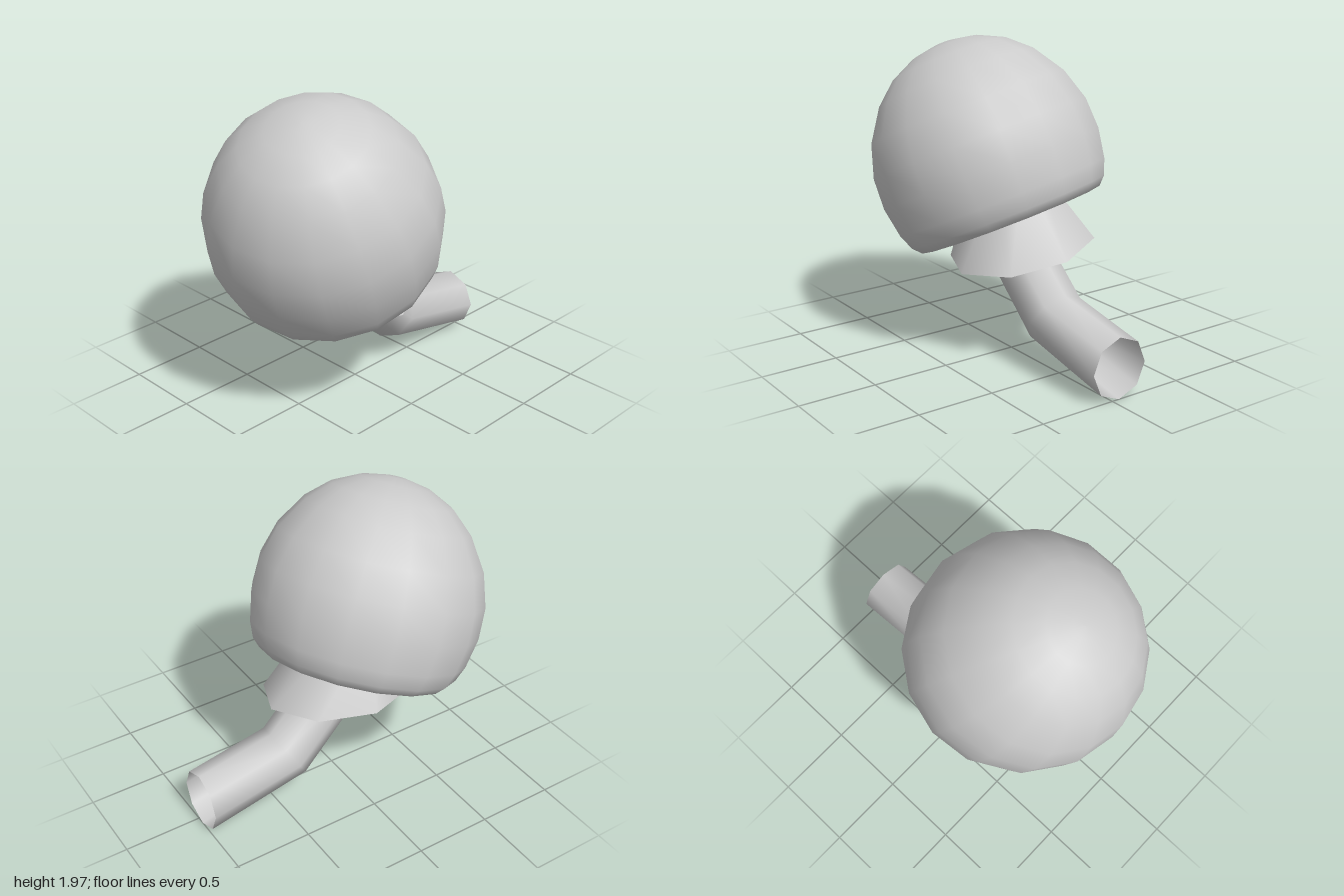
import * as THREE from 'three';

const V = (x, y, z) => new THREE.Vector3(x, y, z);
const points2 = (list) => list.map(([x, y]) => new THREE.Vector2(x, y));
const SIDES = 8;

// Skin a row of eight-sided rings; each ring is [centre, normal, radius]
function loft(rings) {
  const pos = [], index = [];
  rings.forEach(([c, n, r], i) => {
    const w = n.clone().normalize();
    const u = V(0, 0, 1).addScaledVector(w, -w.z).normalize();
    const v = w.clone().cross(u);
    for (let j = 0; j < SIDES; j++) {
      const a = (j / SIDES) * Math.PI * 2;
      const p = c.clone().addScaledVector(u, r * Math.cos(a)).addScaledVector(v, r * Math.sin(a));
      pos.push(p.x, p.y, p.z);
      if (i === 0) continue;
      const k = (j + 1) % SIDES, lo = (i - 1) * SIDES, hi = i * SIDES;
      index.push(lo + j, lo + k, hi + k, lo + j, hi + k, hi + j);
    }
  });
  const g = new THREE.BufferGeometry();
  g.setAttribute('position', new THREE.Float32BufferAttribute(pos, 3));
  g.setIndex(index);
  g.computeVertexNormals();
  return g;
}

export function createModel() {
  const model = new THREE.Group();
  model.name = 'mushroom';
  const smooth = new THREE.MeshStandardMaterial({ color: 0xcccccc, side: THREE.DoubleSide });
  const flat = new THREE.MeshStandardMaterial({ color: 0xcccccc, side: THREE.DoubleSide, flatShading: true });
  const add = (parent, name, geometry, material) => {
    const mesh = new THREE.Mesh(geometry, material);
    mesh.name = name;
    parent.add(mesh);
  };

  // Tilted head holding the cap and gills
  const axis = V(-0.38, 0.91, 0.17).normalize();
  const head = new THREE.Group();
  head.name = 'head';
  head.position.set(-0.27, 1.22, 0);
  head.quaternion.setFromUnitVectors(V(0, 1, 0), axis);
  model.add(head);

  // Cap: curled inner lip, widest low down, then a tall dome up to the pole
  const profile = points2([
    [0.575, -0.28], [0.545, -0.34], [0.535, -0.395], [0.56, -0.43], [0.605, -0.432],
    [0.655, -0.38], [0.695, -0.28], [0.728, -0.09], [0.72, 0.11], [0.655, 0.32],
    [0.525, 0.52], [0.385, 0.645], [0.22, 0.725], [0.07, 0.755], [0, 0.757],
  ]);
  add(head, 'cap', new THREE.LatheGeometry(profile, 16), smooth);

  // Gills: a cone pleated up and down, deepest near the lip
  const line = points2([[0.17, -0.1], [0.36, -0.18], [0.535, -0.32]]);
  const gills = new THREE.LatheGeometry(line, 180);
  const p = gills.attributes.position;
  for (let i = 0; i < p.count; i++) {
    const fold = Math.floor(i / line.length) % 2 ? 1 : -1;
    p.setY(i, p.getY(i) + fold * 0.014 * (1 + (i % line.length)));
  }
  add(head, 'gills', gills, flat);

  // Stem: hollow bent tube from the cut end up into the cap
  add(model, 'stem', loft([
    [V(1, 0.195, -0.05), V(-1, 0, 0), 0.192],
    [V(0.39, 0.32, -0.05), V(-0.855, 0.52, 0), 0.193],
    [V(-0.1, 0.8, -0.025), V(-0.56, 0.83, 0.08), 0.19],
    [V(-0.23, 1.13, -0.02), axis, 0.19],
  ]), smooth);

  // Skirt: open flared collar around the stem
  add(model, 'skirt', loft([
    [V(0.02, 0.675, -0.065), V(-0.05, 1, 0.2), 0.465],
    [V(-0.13, 1.12, -0.03), V(-0.3, 1, 0.18), 0.22],
  ]), smooth);

  return model;
}
